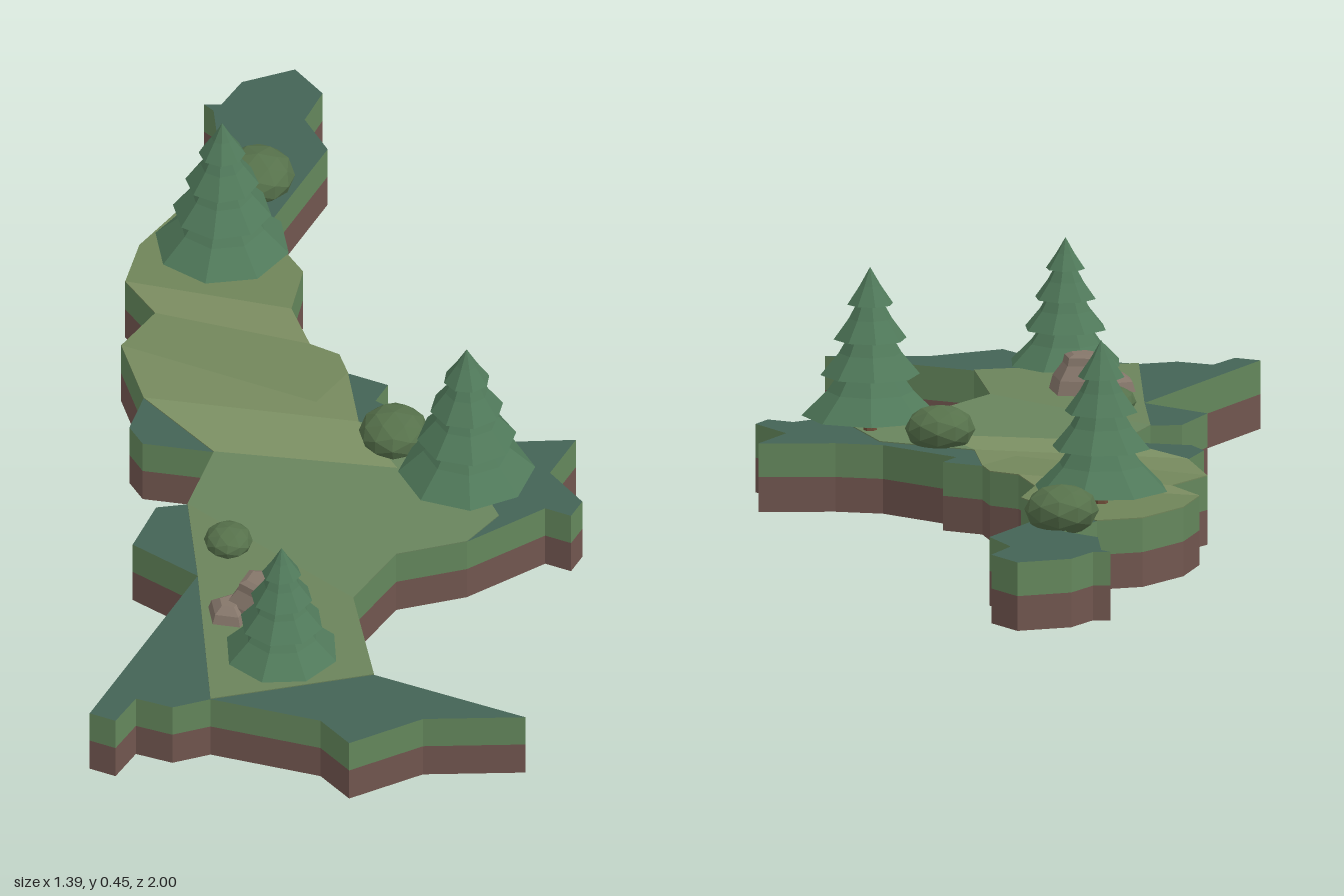
import * as THREE from 'three';

const GROUND = 0.135;
const mat = (color) => new THREE.MeshStandardMaterial({ color, flatShading: true });

// Island outline as x, z pairs
const OUTLINE = [
  -0.59, -1, -0.51, -0.955, -0.505, -0.865, -0.425, -0.8, -0.425, -0.52, -0.3, -0.43, -0.27, -0.315,
  -0.19, -0.23, -0.125, -0.225, -0.085, -0.18, 0, -0.18, 0, -0.125, 0.18, -0.085, 0.27, -0.11,
  0.4, -0.18, 0.4, -0.065, 0.495, -0.01, 0.495, 0.04, 0.44, 0.04, 0.35, 0.2, 0.245, 0.295,
  0.23, 0.455, 0.37, 0.655, 0.69, 0.65, 0.515, 0.74, 0.42, 0.87, 0.34, 0.83, 0.12, 0.86,
  0.065, 0.915, -0.01, 0.92, -0.015, 1, -0.07, 1, -0.07, 0.52, -0.225, 0.485, -0.235, 0.36,
  -0.185, 0.325, -0.21, 0.155, -0.345, 0.19, -0.39, 0.155, -0.405, 0.06, -0.515, -0.07, -0.5, -0.19,
  -0.595, -0.255, -0.62, -0.37, -0.6, -0.5, -0.535, -0.565, -0.525, -0.685, -0.61, -0.705,
  -0.675, -0.815, -0.7, -0.825, -0.67, -0.84, -0.665, -0.92,
];

// Lighter grass areas: colour, then x, z pairs
const MEADOWS = [
  [0x6f8459, [-0.6, -0.5, -0.535, -0.565, -0.425, -0.52, -0.3, -0.43, -0.27, -0.315, -0.595, -0.255, -0.62, -0.37]],
  [0x7b8c60, [-0.595, -0.255, -0.27, -0.315, -0.19, -0.23, -0.5, -0.19]],
  [0x72865b, [-0.5, -0.19, -0.19, -0.23, -0.125, -0.225, -0.085, -0.18, -0.1, -0.07, -0.515, -0.07]],
  [0x768a5e, [-0.515, -0.07, -0.1, -0.07, -0.085, -0.18, 0, -0.05, -0.405, 0.06]],
  [0x7c9063, [-0.405, 0.06, 0, -0.05, 0.13, 0.05, -0.21, 0.155]],
  [0x69845d, [-0.21, 0.155, 0.13, 0.05, 0, -0.05, 0.2, -0.06, 0.37, 0.1, 0.35, 0.2, 0.245, 0.295, 0.23, 0.455, -0.185, 0.325]],
  [0x6b835b, [-0.185, 0.325, 0.23, 0.455, 0.37, 0.655, 0.12, 0.86, -0.07, 0.52]],
];

// Flat slab from x, z pairs with its top at the given height
function slab(name, pairs, top, depth, materials) {
  const points = [];
  for (let i = 0; i < pairs.length; i += 2) points.push(new THREE.Vector2(pairs[i], pairs[i + 1]));
  const geo = new THREE.ExtrudeGeometry(new THREE.Shape(points), { depth, bevelEnabled: false });
  geo.rotateX(Math.PI / 2).translate(0, top, 0);
  const mesh = new THREE.Mesh(geo, materials);
  mesh.name = name;
  return mesh;
}

// Fir tree: trunk and four drooping tiers
function fir(x, z, scale, turn) {
  const tree = new THREE.Group();
  tree.name = 'firTree';
  const trunk = new THREE.Mesh(new THREE.CylinderGeometry(0.01, 0.013, 0.06, 6), mat(0x6f4d38));
  trunk.name = 'trunk';
  trunk.position.y = 0.03;
  tree.add(trunk);
  const green = mat(0x50795a);
  // bottom height, bottom radius, top height, top radius
  const tiers = [
    [0.03, 0.132, 0.125, 0.05],
    [0.11, 0.096, 0.195, 0.036],
    [0.18, 0.071, 0.26, 0.02],
    [0.248, 0.045, 0.32, 0],
  ];
  tiers.forEach(([y0, r0, y1, r1], i) => {
    const profile = [[0, y0 + 0.015], [r0, y0], [(r0 + r1) * 0.46, (y0 + y1) / 2], [r1, y1]];
    if (r1 > 0) profile.push([0, y1]);
    const tier = new THREE.Mesh(
      new THREE.LatheGeometry(profile.map(([r, y]) => new THREE.Vector2(r, y)), 8), green);
    tier.name = 'foliageTier';
    tier.rotation.y = turn + i * 0.07;
    tree.add(tier);
  });
  tree.position.set(x, GROUND, z);
  tree.scale.setScalar(scale);
  return tree;
}

// Rounded bush, sunk a little into the grass
function bush(x, z, radius, height) {
  const mesh = new THREE.Mesh(new THREE.IcosahedronGeometry(1, 1), mat(0x56714b));
  mesh.name = 'bush';
  mesh.scale.set(radius, height * 0.62, radius);
  mesh.position.set(x, GROUND + height * 0.38, z);
  mesh.rotation.y = 0.4;
  return mesh;
}

// Faceted boulder: stacked rings of radius and height
function rock(name, x, z, rings, sides, turn, stretch) {
  const geo = new THREE.LatheGeometry(rings.map(([r, y]) => new THREE.Vector2(r, y)), sides);
  const mesh = new THREE.Mesh(geo, mat(0x85766a));
  mesh.name = name;
  mesh.position.set(x, GROUND, z);
  mesh.rotation.y = turn;
  mesh.scale.set(1, 1, stretch);
  return mesh;
}

export function createModel() {
  const model = new THREE.Group();
  model.name = 'forestIsland';

  // Ground layers
  model.add(slab('soilLayer', OUTLINE, 0.068, 0.068, mat(0x71564f)));
  model.add(slab('grassLayer', OUTLINE, GROUND - 0.001, 0.066, [mat(0x446356), mat(0x64875c)]));
  for (const [color, pairs] of MEADOWS) model.add(slab('meadow', pairs, GROUND + 0.001, 0.002, mat(color)));

  // Trees and bushes
  model.add(fir(-0.463, -0.41, 1, 0.2), fir(0.268, 0.03, 1, 0.5), fir(0.19, 0.69, 0.845, 0.1));
  model.add(bush(-0.495, -0.635, 0.072, 0.08), bush(0.09, -0.02, 0.068, 0.075), bush(-0.055, 0.415, 0.047, 0.05));

  // Boulder with a low slab beside it
  model.add(rock('boulder', 0.085, 0.565, [[0.074, 0], [0.066, 0.028], [0.045, 0.055], [0.041, 0.07], [0.027, 0.076], [0, 0.076]], 5, 0.35, 0.95));
  model.add(rock('sideStone', 0.038, 0.605, [[0.045, 0], [0.038, 0.02], [0.02, 0.032], [0, 0.032]], 5, 0.9, 1.05));
  return model;
}
